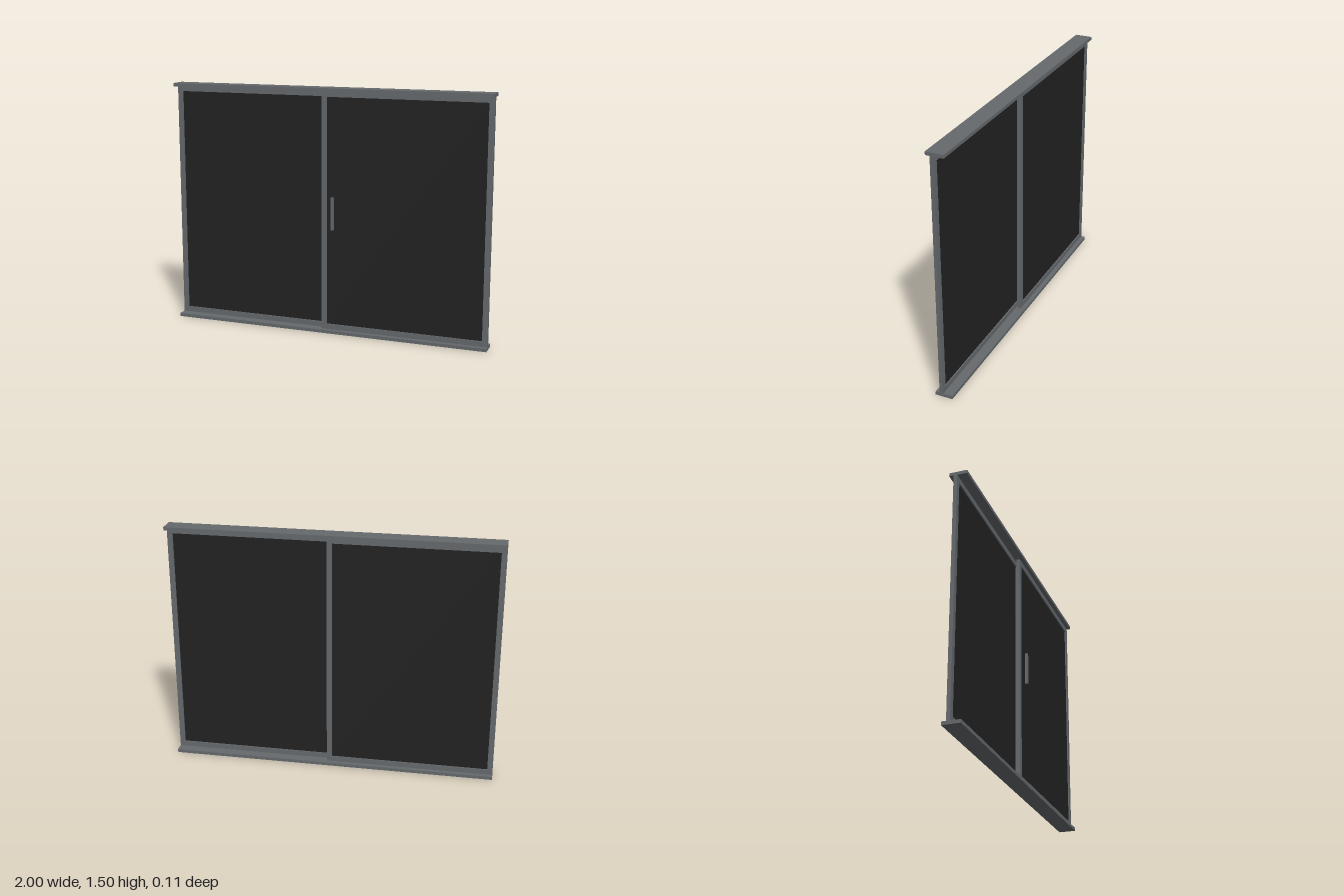
import * as THREE from 'three';

const frameGrey = new THREE.MeshStandardMaterial({ color: 0x666a6d });
frameGrey.name = 'frameGrey';
const darkGlass = new THREE.MeshStandardMaterial({ color: 0x222222 });
darkGlass.name = 'darkGlass';

const WIDTH = 2, HEIGHT = 1.5;
const TRACK_H = 0.02, TRACK_D = 0.106;
const BORDER = 0.033, PANEL_W = 1 + BORDER, PANEL_H = HEIGHT - 2 * TRACK_H;
const PANEL_D = 0.022, PANEL_Z = 0.016;

function box(name, material, w, h, d, x, y, z) {
  const mesh = new THREE.Mesh(new THREE.BoxGeometry(w, h, d), material);
  mesh.name = name;
  mesh.position.set(x, y, z);
  return mesh;
}

function rectangle(PathType, w, h) {
  return new PathType([
    new THREE.Vector2(-w / 2, -h / 2), new THREE.Vector2(w / 2, -h / 2),
    new THREE.Vector2(w / 2, h / 2), new THREE.Vector2(-w / 2, h / 2),
  ]);
}

// One sliding panel: a rectangular frame around a thin pane
function createPanel(name) {
  const panel = new THREE.Group();
  panel.name = name;
  const paneW = PANEL_W - 2 * BORDER, paneH = PANEL_H - 2 * BORDER;
  const outline = rectangle(THREE.Shape, PANEL_W, PANEL_H);
  outline.holes.push(rectangle(THREE.Path, paneW, paneH));
  const geometry = new THREE.ExtrudeGeometry(outline, { depth: PANEL_D, bevelEnabled: false });
  geometry.translate(0, 0, -PANEL_D / 2);
  const frame = new THREE.Mesh(geometry, frameGrey);
  frame.name = 'panelFrame';
  panel.add(frame, box('glassPane', darkGlass, paneW, paneH, 0.008, 0, 0, 0));
  return panel;
}

export function createModel() {
  const door = new THREE.Group();
  door.name = 'slidingDoor';

  // Tracks above and below the panels
  door.add(box('bottomTrack', frameGrey, WIDTH, TRACK_H, TRACK_D, 0, TRACK_H / 2, 0));
  door.add(box('topTrack', frameGrey, WIDTH, TRACK_H, TRACK_D, 0, HEIGHT - TRACK_H / 2, 0));

  // Two panels on separate rails, overlapping at the middle
  for (const [name, side] of [['frontPanel', 1], ['backPanel', -1]]) {
    const panel = createPanel(name);
    panel.position.set(side * (1 - PANEL_W / 2), HEIGHT / 2, side * PANEL_Z);
    door.add(panel);
  }

  // Upright pull handle in front of the front panel
  door.add(box('handle', frameGrey, 0.015, 0.2, 0.015, 0.042, HEIGHT / 2, 0.0455));

  return door;
}
